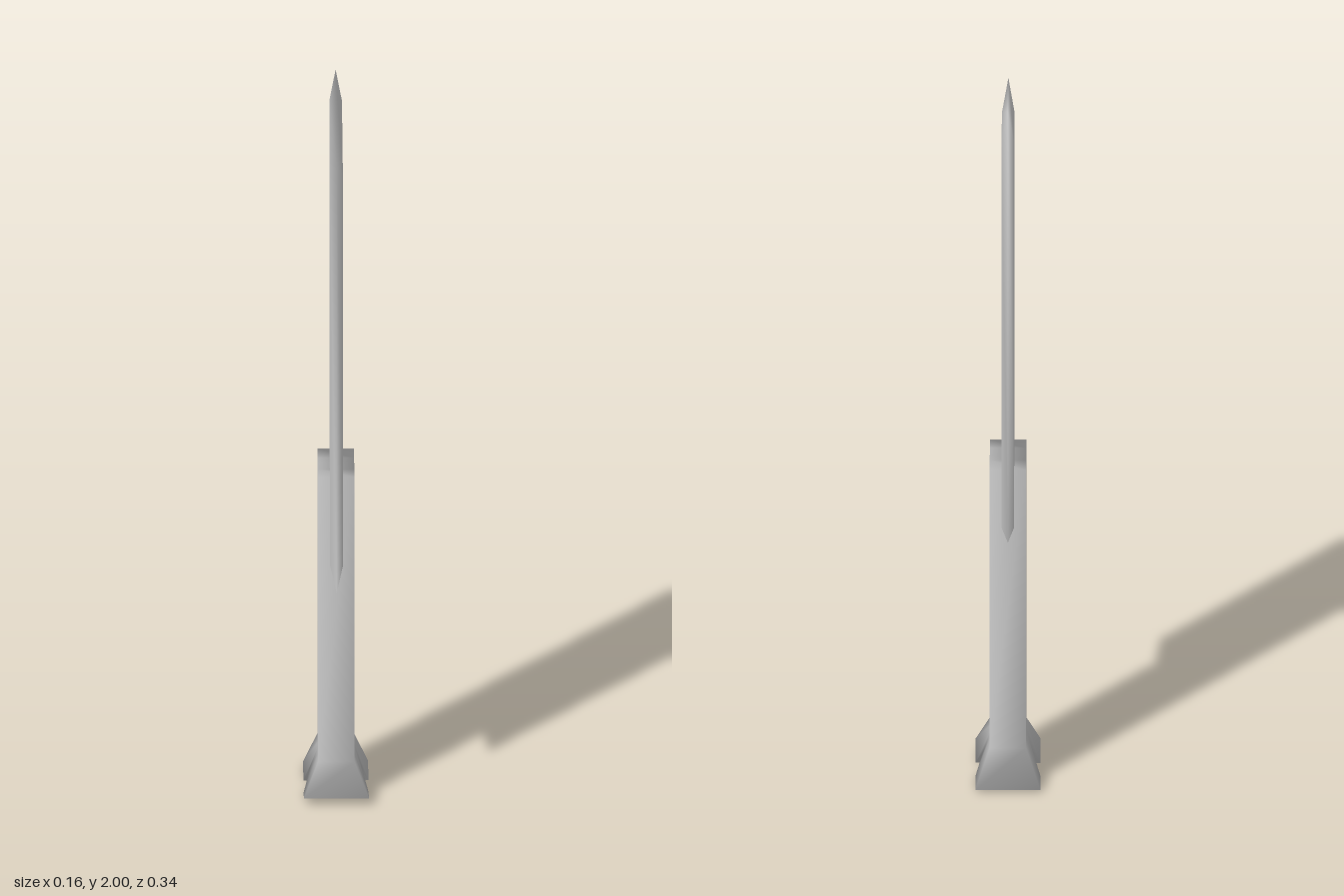
import * as THREE from 'three';

// Smooth solid lofted through equal-length rings (counter-clockwise seen from the last ring's side)
function loft(name, rings) {
  const n = rings[0].length, index = [];
  const quad = (a, b, c, d) => index.push(a, b, c, a, c, d);
  for (let r = 0; r < rings.length - 1; r++) {
    for (let i = 0; i < n; i++) {
      const j = (i + 1) % n;
      quad(r * n + i, r * n + j, (r + 1) * n + j, (r + 1) * n + i);
    }
  }
  // Close both ends with strips running across the ring
  const top = (rings.length - 1) * n;
  for (let i = 0; i < n / 2 - 1; i++) {
    const k = n - 1 - i;
    quad(top + i, top + i + 1, top + k - 1, top + k);
    quad(k, k - 1, i + 1, i);
  }
  const geometry = new THREE.BufferGeometry();
  geometry.setAttribute('position', new THREE.Float32BufferAttribute(rings.flat(2), 3));
  geometry.setIndex(index);
  geometry.computeVertexNormals();
  const mesh = new THREE.Mesh(geometry, new THREE.MeshStandardMaterial({ color: 0xcccccc }));
  mesh.name = name;
  return mesh;
}

export function createModel() {
  const group = new THREE.Group();
  group.name = 'knife';

  // Blade: thin slab whose front, top and bottom edges are ground to a point
  const side = (x, outline) => outline.map(([z, y]) => [x, y, z]);
  const flat = [[0.10, 0.72], [0.02, 0.70], [-0.165, 0.78], [-0.165, 1.91], [0.10, 1.84]];
  const edge = [[0.17, 0.68], [0.02, 0.645], [-0.165, 0.735], [-0.165, 2.0], [0.17, 1.9]];
  group.add(loft('blade', [side(-0.016, flat), side(0, edge), side(0.016, flat)]));

  // Handle: rectangular grip flaring into a pommel split by a notch; points are [x, y, z] on the left side
  const mirrored = (half) => [...half, ...half.map(([x, y, z]) => [-x, y, z]).reverse()];
  const grip = (y) => mirrored([0.017, -0.025, -0.06, -0.085, -0.135].map((z) => [0.046, y, z]));
  const pommel = mirrored([
    [0.082, 0.03, 0.055],
    [0.082, 0.005, -0.023],
    [0.063, 0.062, -0.065],
    [0.082, 0.005, -0.088],
    [0.082, 0.014, -0.173],
  ]);
  group.add(loft('handle', [pommel, grip(0.115), grip(0.93)]));

  // Rest the pommel on the ground
  group.children.forEach((part) => part.geometry.translate(0, -0.002, 0));
  group.position.y = 0;
  return group;
}
